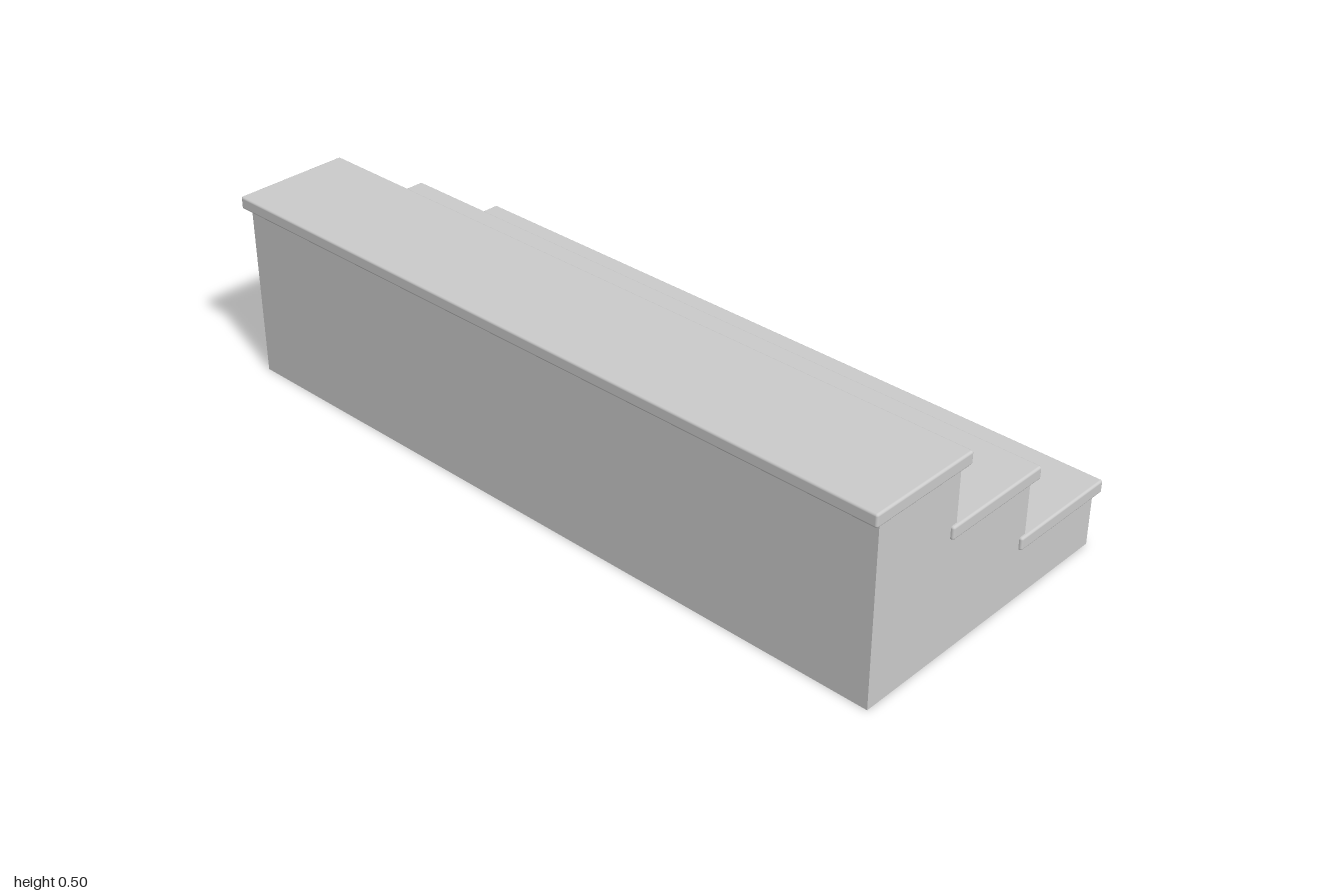
import * as THREE from 'three';
import { RoundedBoxGeometry } from 'three/addons/geometries/RoundedBoxGeometry.js';

export function createModel() {
  const group = new THREE.Group();
  const material = new THREE.MeshStandardMaterial({ color: 0xcccccc });

  const steps = 3, rise = 0.167, treadHeight = 0.034, treadWidth = 0.315;
  const backX = -0.407, run = 0.268, firstRiserX = 0.396;
  const bodyBack = -0.984, bodyFront = 0.992;

  // Solid stepped base, one profile extruded along the length
  const profile = new THREE.Shape();
  profile.moveTo(backX, 0);
  for (let i = 0; i < steps; i++) {
    const x = firstRiserX - i * run;
    profile.lineTo(x, i === 0 ? 0 : i * rise - treadHeight);
    profile.lineTo(x, (i + 1) * rise - treadHeight);
  }
  profile.lineTo(backX, steps * rise - treadHeight);
  const bodyGeometry = new THREE.ExtrudeGeometry(profile, { depth: bodyFront - bodyBack, bevelEnabled: false });
  const body = new THREE.Mesh(bodyGeometry, material);
  body.name = 'steppedBase';
  body.position.z = bodyBack;
  group.add(body);

  // Overhanging treads with softly rounded edges
  for (let i = 0; i < steps; i++) {
    const tread = new THREE.Mesh(new RoundedBoxGeometry(treadWidth, treadHeight, 2, 3, 0.006), material);
    tread.name = `tread${i + 1}`;
    tread.position.set(0.265 - i * 0.2665, (i + 1) * rise - treadHeight / 2, 0);
    group.add(tread);
  }
  return group;
}
